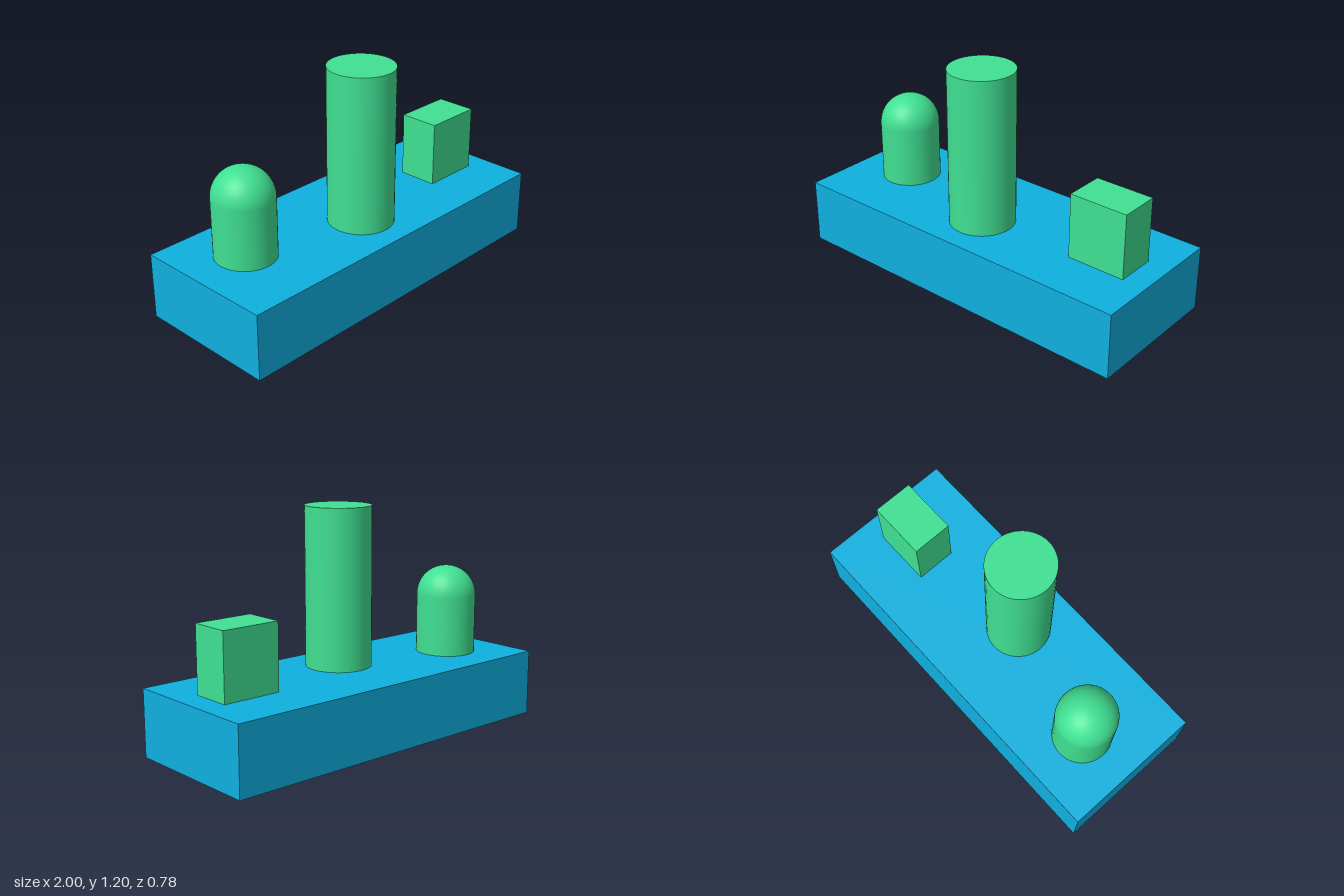
import * as THREE from 'three';

const BASE_TOP = 0.355;

export function createModel() {
  const model = new THREE.Group();
  const blue = new THREE.MeshStandardMaterial({ color: 0x0fb0e0 });
  const green = new THREE.MeshStandardMaterial({ color: 0x40e092 });

  const add = (name, geometry, material, x, y, z) => {
    const mesh = new THREE.Mesh(geometry, material);
    mesh.name = name;
    mesh.position.set(x, y, z);
    model.add(mesh);
    return mesh;
  };

  // Slab that carries the three pegs
  add('base', new THREE.BoxGeometry(2, BASE_TOP, 0.776), blue, 0, BASE_TOP / 2, 0);

  // Tall flat-topped peg, very slightly oval
  const tallHeight = 1.2 - BASE_TOP;
  add('cylinderPeg', new THREE.CylinderGeometry(1, 1, tallHeight, 48), green,
    -0.017, BASE_TOP + tallHeight / 2, 0.099).scale.set(0.173, 1, 0.177);

  // Round-topped peg: straight wall running into a hemispherical dome
  const wall = 0.32, dome = 0.158, steps = 16;
  const profile = [new THREE.Vector2(0, 0), new THREE.Vector2(1, 0)];
  const body = new THREE.Group();
  body.name = 'domedPeg';
  body.position.set(-0.677, BASE_TOP, -0.052);
  body.scale.set(0.158, 1, 0.163);
  const bottom = new THREE.Mesh(new THREE.LatheGeometry(profile.reverse(), 48), green);
  bottom.name = 'domedPegBottom';
  bottom.rotation.x = 0;
  bottom.geometry.scale(1, 1, 1);
  const side = [new THREE.Vector2(1, 0)];
  for (let i = 0; i <= steps; i++) {
    const a = (i / steps) * Math.PI / 2;
    side.push(new THREE.Vector2(i === steps ? 0 : Math.cos(a), wall + dome * Math.sin(a)));
  }
  const shell = new THREE.Mesh(new THREE.LatheGeometry(side, 48), green);
  shell.name = 'domedPegShell';
  body.add(shell);
  model.add(body);

  // Square block peg
  const blockHeight = 0.706 - BASE_TOP;
  add('blockPeg', new THREE.BoxGeometry(0.322, blockHeight, 0.22), green,
    0.711, BASE_TOP + blockHeight / 2, 0);

  return model;
}
